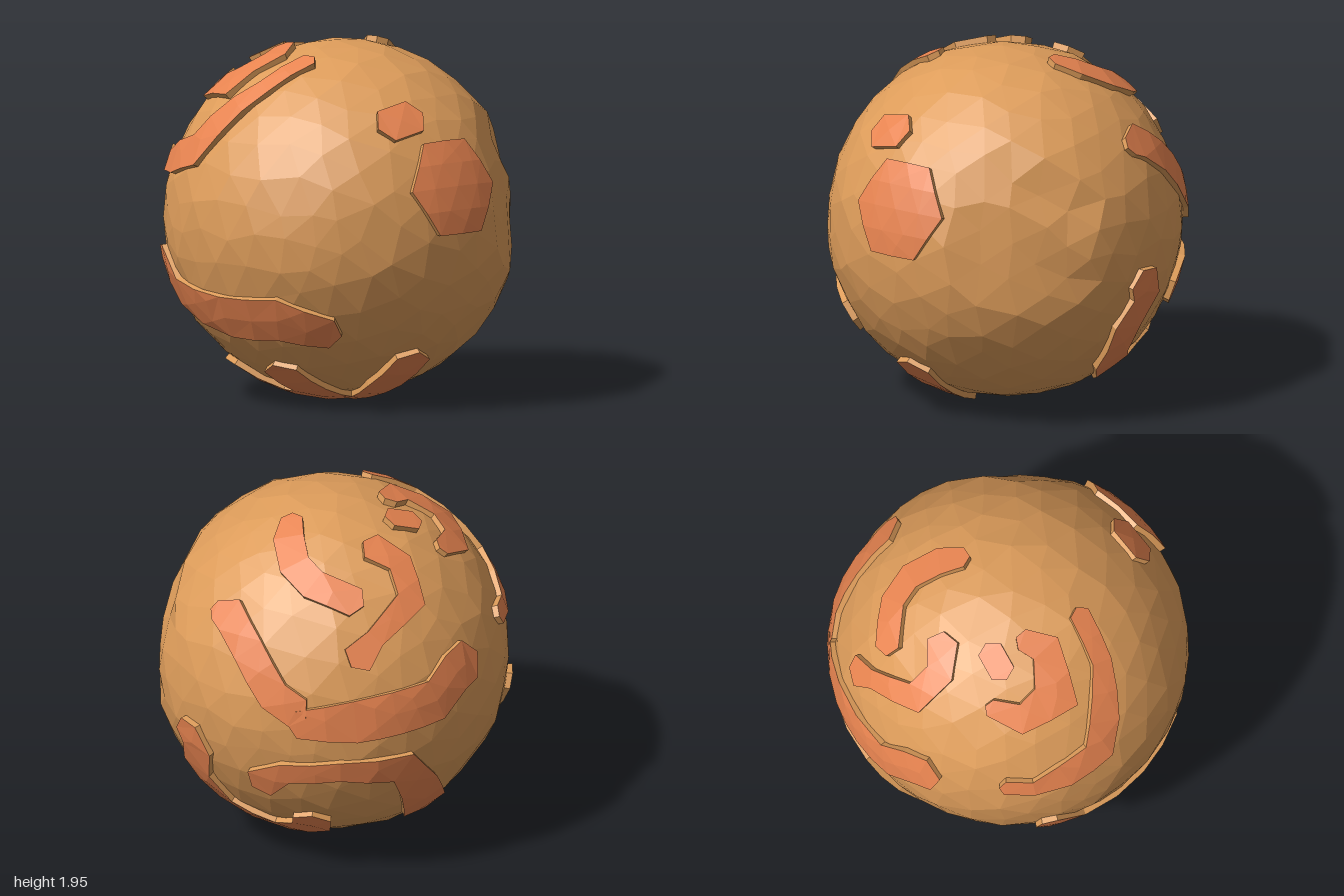
import * as THREE from 'three';

const CAP = 0.998, FOOT = 0.94, MAX_EDGE = 0.25;
const rock = new THREE.MeshStandardMaterial({ color: 0xdd9c5a, flatShading: true });
const crust = new THREE.MeshStandardMaterial({ color: 0xe88450, flatShading: true });

// A side of the ball: places disc coordinates (u right, v up) on the unit sphere
function facing(azimuth, elevation) {
  const a = THREE.MathUtils.degToRad(azimuth), e = THREE.MathUtils.degToRad(elevation);
  const right = new THREE.Vector3(Math.cos(a), 0, -Math.sin(a));
  const out = new THREE.Vector3(Math.cos(e) * Math.sin(a), Math.sin(e), Math.cos(e) * Math.cos(a));
  const up = out.clone().cross(right);
  return (u, v) => new THREE.Vector3().addScaledVector(right, u).addScaledVector(up, v)
    .addScaledVector(out, Math.sqrt(Math.max(0, 1 - u * u - v * v))).normalize();
}

function toGeometry(points) {
  const geometry = new THREE.BufferGeometry().setFromPoints(points);
  geometry.computeVertexNormals();
  return geometry;
}

const midpoint = (a, b) => a.clone().add(b).normalize();
const lift = (p, radius) => p.clone().multiplyScalar(radius);

// Halve the longest edge until the triangle follows the sphere
function addCap(a, b, c, out) {
  const ab = a.distanceTo(b), bc = b.distanceTo(c), ca = c.distanceTo(a);
  const longest = Math.max(ab, bc, ca);
  if (longest < MAX_EDGE) {
    out.push(lift(a, CAP), lift(b, CAP), lift(c, CAP));
    return;
  }
  if (bc === longest) [a, b, c] = [b, c, a];
  else if (ca === longest) [a, b, c] = [c, a, b];
  const m = midpoint(a, b);
  addCap(a, m, c, out);
  addCap(m, b, c, out);
}

// Upright wall under one outline edge
function addWall(a, b, out) {
  if (a.distanceTo(b) >= MAX_EDGE) {
    const m = midpoint(a, b);
    addWall(a, m, out);
    addWall(m, b, out);
    return;
  }
  out.push(lift(a, FOOT), lift(b, FOOT), lift(b, CAP), lift(a, FOOT), lift(b, CAP), lift(a, CAP));
}

// Raised crust plate: a mitred band along a path of [u, v, own width], with
// half-hexagon ends, a coloured cap and rock walls
function makePlate(name, side, width, path) {
  const centre = path.map(([u, v]) => side(u, v));
  const last = centre.length - 1;
  const step = i => centre[i + 1].clone().sub(centre[i]).normalize();
  const left = [], right = [];
  centre.forEach((c, i) => {
    const before = c.clone().cross(step(Math.max(i - 1, 0))).normalize();
    const after = c.clone().cross(step(Math.min(i, last - 1))).normalize();
    const half = (path[i][2] ?? width) / 2 / Math.max(0.6, 1 + before.dot(after));
    const offset = before.add(after).multiplyScalar(half);
    left.push(c.clone().add(offset).normalize());
    right.push(c.clone().sub(offset).normalize());
  });
  const tip = (i, dir) =>
    centre[i].clone().addScaledVector(dir, 0.29 * left[i].distanceTo(right[i])).normalize();
  const startTip = tip(0, step(0).negate()), endTip = tip(last, step(last - 1));

  const cap = [], walls = [];
  for (let i = 0; i < last; i++) {
    addCap(right[i], right[i + 1], left[i + 1], cap);
    addCap(right[i], left[i + 1], left[i], cap);
  }
  addCap(right[last], endTip, left[last], cap);
  addCap(left[0], startTip, right[0], cap);
  const ring = [...right, endTip, ...left.reverse(), startTip];
  ring.forEach((p, i) => addWall(p, ring[(i + 1) % ring.length], walls));

  const plate = new THREE.Group();
  plate.name = name;
  const top = new THREE.Mesh(toGeometry(cap), crust);
  top.name = name + 'Top';
  const rim = new THREE.Mesh(toGeometry(walls), rock);
  rim.name = name + 'Walls';
  plate.add(top, rim);
  return plate;
}

// Faceted ball with uneven facets and a shallow basin on the front left
function makeBall() {
  const geometry = new THREE.IcosahedronGeometry(1, 5);
  const pos = geometry.attributes.position;
  const basin = new THREE.Vector3(.56, .13, .82).normalize();
  const p = new THREE.Vector3();
  for (let i = 0; i < pos.count; i++) {
    p.fromBufferAttribute(pos, i).normalize();
    const { x, y, z } = p;
    p.x += .03 * Math.sin(17 * y + 23 * z);
    p.y += .03 * Math.sin(19 * z + 21 * x);
    p.z += .03 * Math.sin(22 * x + 18 * y);
    p.normalize();
    const bump = Math.sin(13 * x + 5 * z) * Math.sin(11 * y + 7 * x) * Math.cos(12 * z);
    const dent = 1 - THREE.MathUtils.smoothstep(p.distanceTo(basin), .25, .48);
    p.multiplyScalar(.969 + .008 * bump - dent * (.05 - .02 * Math.sin(14 * y + 9 * x)));
    pos.setXYZ(i, p.x, p.y, p.z);
  }
  geometry.computeVertexNormals();
  const ball = new THREE.Mesh(geometry, rock);
  ball.name = 'rockBall';
  return ball;
}

export function createModel() {
  const model = new THREE.Group();
  model.name = 'rockyPlanet';
  const body = new THREE.Group();
  body.name = 'planetBody';
  body.position.y = 1;
  body.add(makeBall());
  model.add(body);
  const add = (...plate) => body.add(makePlate(...plate));

  // Front plates
  const front = facing(0, 0);
  add('frontHexPlate', front, .53, [[-.3, .27], [0, .27]]);
  add('frontSmallPlate', front, .2, [[-.42, .61], [-.24, .65]]);

  // Underside plates
  const bottom = facing(0, -90);
  add('frontLowerPlate', bottom, .23, [[-.2, .68], [-.17, .45], [-.12, .22, .14]]);
  add('bottomPlate', bottom, .24, [[-.62, .08], [-.28, .12], [-.28, -.12], [-.45, -.38]]);

  // Side plates
  add('rightSidePlate', facing(-90, 0), .27,
    [[-.69, -.18, .15], [-.52, -.38, .2], [-.1, -.47], [.25, -.46], [.5, -.53, .2]]);
  const left = facing(90, 0);
  add('leftHookPlate', left, .21,
    [[-.17, -.16], [-.11, -.28], [-.18, -.45], [-.1, -.68], [.17, -.81], [.38, -.74], [.45, -.64]]);
  add('leftUpperPlate', left, .19, [[-.08, .55, .11], [.02, .56], [.21, .43], [.41, .22], [.54, .14]]);

  // Back plates
  add('backBandPlate', facing(180, 0), .25,
    [[-.84, .07, .16], [-.62, .09], [-.18, .13], [-.02, .24], [.1, .27]]);
  add('backArchPlate', facing(145, -25), .13,
    [[-.55, -.02, .2], [-.43, .13], [-.14, .2], [.22, .17, .18], [.33, -.05, .23], [.4, -.35, .26]]);
  const backRight = facing(215, 25);
  add('topBackPlate', backRight, .15,
    [[-.38, .68, .18], [-.4, .54], [-.54, .37], [-.77, .32, .11], [-.86, .27, .18]]);
  add('rightCurvePlate', backRight, .19,
    [[.37, .77, .12], [.49, .55, .12], [.5, .24], [.47, .06], [.28, -.05], [.11, -.115, .11],
      [-.05, -.1, .11]]);

  // Top plates
  const top = facing(0, 90);
  add('topLeftPlate', top, .17, [[.42, .59], [.53, .37], [.52, .22], [.42, .08], [.31, 0, .12]]);
  add('topRingPlate', top, .16,
    [[-.26, .59, .1], [-.43, .54], [-.53, .34, .22], [-.35, .18], [-.22, .22, .12]]);
  add('topSmallPlate', top, .14, [[-.23, .42], [-.1, .36]]);
  return model;
}
